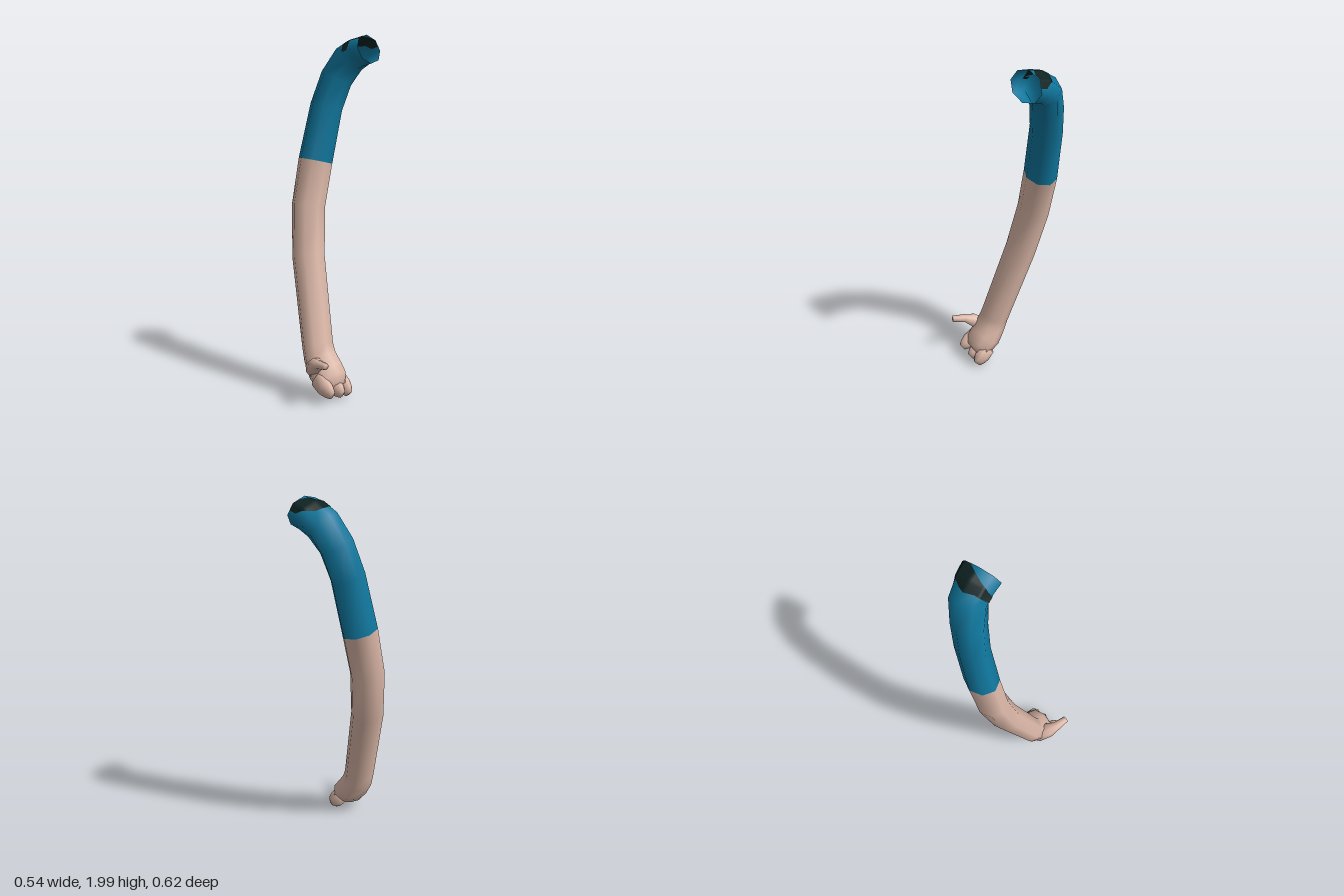
import * as THREE from 'three';

const SIDES = 8;
const skin = new THREE.MeshStandardMaterial({ color: 0xdcb8a8 });
skin.name = 'skin';
const blue = new THREE.MeshStandardMaterial({ color: 0x10789f, side: THREE.DoubleSide });
blue.name = 'sleeveBlue';
const dark = new THREE.MeshStandardMaterial({ color: 0x0f2222, side: THREE.DoubleSide });
dark.name = 'darkPatch';

// Rows are [x, y, z, radius along z, radius across]; adds a frame to each
function makeRings(rows) {
  const pts = rows.map(r => new THREE.Vector3(r[0], r[1], r[2]));
  return rows.map((r, i) => {
    const t = pts[Math.min(i + 1, pts.length - 1)].clone().sub(pts[Math.max(i - 1, 0)]).normalize();
    const b = new THREE.Vector3(0, 0, 1).addScaledVector(t, -t.z).normalize();
    const c = t.clone().cross(b);
    return { p: pts[i], b, c, rb: r[3], rc: r[4] };
  });
}

function ringPoint(ring, side, scale = 1) {
  const a = side / SIDES * Math.PI * 2;
  return ring.p.clone()
    .addScaledVector(ring.b, Math.cos(a) * ring.rb * scale)
    .addScaledVector(ring.c, Math.sin(a) * ring.rc * scale);
}

function buildGeometry(points, index) {
  const g = new THREE.BufferGeometry().setFromPoints(points);
  g.setIndex(index);
  g.computeVertexNormals();
  return g;
}

// Skin a run of rings, with optional end caps
function loft(rings, capStart, capEnd) {
  const points = [], index = [], n = SIDES;
  rings.forEach(r => { for (let j = 0; j < n; j++) points.push(ringPoint(r, j)); });
  for (let i = 0; i < rings.length - 1; i++) {
    for (let j = 0; j < n; j++) {
      const k = (j + 1) % n, a = i * n + j, b = i * n + k;
      index.push(a, b, b + n, a, b + n, a + n);
    }
  }
  const cap = (row, flip) => {
    const centre = points.length;
    points.push(rings[row].p.clone());
    for (let j = 0; j < n; j++) {
      const a = row * n + j, b = row * n + (j + 1) % n;
      index.push(centre, flip ? b : a, flip ? a : b);
    }
  };
  if (capStart) cap(0, true);
  if (capEnd) cap(rings.length - 1, false);
  return buildGeometry(points, index);
}

// Point on the faceted tube at fractional ring s and fractional side q
function surfacePoint(rings, s, q, scale) {
  const i = Math.min(Math.floor(s), rings.length - 2);
  const j = Math.floor(q);
  const edge = r => ringPoint(r, j, scale).lerp(ringPoint(r, j + 1, scale), q - j);
  return edge(rings[i]).lerp(edge(rings[i + 1]), s - i);
}

// Rows are [side, start ring, end ring]; a thin band lying on the tube
function band(rings, rows, scale) {
  const points = [], index = [], fine = 4, cols = 8;
  const total = (rows.length - 1) * fine;
  for (let i = 0; i <= total; i++) {
    const k = Math.min(Math.floor(i / fine), rows.length - 2);
    const [q, s0, s1] = rows[k].map((v, m) => THREE.MathUtils.lerp(v, rows[k + 1][m], i / fine - k));
    for (let j = 0; j <= cols; j++) {
      points.push(surfacePoint(rings, THREE.MathUtils.lerp(s0, s1, j / cols), q, scale));
    }
  }
  const w = cols + 1;
  for (let i = 0; i < total; i++) {
    for (let j = 0; j < cols; j++) {
      const a = i * w + j;
      index.push(a, a + 1, a + w, a + 1, a + w + 1, a + w);
    }
  }
  return buildGeometry(points, index);
}

export function createModel() {
  const model = new THREE.Group();
  model.name = 'arm';
  const add = (name, geometry, material) => {
    const mesh = new THREE.Mesh(geometry, material);
    mesh.name = name;
    model.add(mesh);
  };

  // Whole limb from palm to shoulder
  const limb = makeRings([
    [0.19, 0.085, 0.155, 0.07, 0.045],
    [0.155, 0.11, 0.155, 0.1, 0.078],
    [0.105, 0.155, 0.16, 0.106, 0.09],
    [0.06, 0.225, 0.165, 0.097, 0.085],
    [0.035, 0.29, 0.162, 0.093, 0.081],
    [-0.115, 0.76, 0.107, 0.098, 0.086],
    [-0.172, 1.04, 0.062, 0.102, 0.088],
    [-0.18, 1.295, 0.003, 0.105, 0.089],
    [-0.167, 1.6, -0.067, 0.1, 0.083],
    [-0.135, 1.76, -0.115, 0.1, 0.083],
    [-0.085, 1.865, -0.165, 0.103, 0.086],
    [-0.02, 1.905, -0.19, 0.107, 0.084],
    [0.04, 1.92, -0.205, 0.11, 0.081],
  ]);
  const sleeve = limb.slice(7);
  add('forearmAndPalm', loft(limb.slice(0, 8), true, false), skin);
  add('sleeve', loft(sleeve, false, false), blue);

  // Dark patch over the shoulder, seen outside and inside
  const patch = [
    [8, 3.3, 3.75], [7.3, 3.45, 3.95], [6.7, 3.55, 4.2], [6, 3.5, 4.65],
    [5.5, 3.62, 4.95], [5, 3.85, 4.98], [4.4, 4.4, 4.98],
  ];
  add('shoulderPatchOuter', band(sleeve, patch, 1.02), dark);
  add('shoulderPatchInner', band(sleeve, patch, 0.98), dark);

  // Three fingers: knuckle and tip
  const fingers = {
    frontFinger: [[0.125, 0.13, 0.237], [0.238, 0.066, 0.222]],
    middleFinger: [[0.125, 0.105, 0.152], [0.222, 0.046, 0.138]],
    backFinger: [[0.125, 0.11, 0.088], [0.208, 0.03, 0.078]],
  };
  for (const [name, [base, tip]] of Object.entries(fingers)) {
    const at = t => base.map((v, i) => THREE.MathUtils.lerp(v, tip[i], t));
    add(name, loft(makeRings([
      [...at(0), 0.035, 0.05],
      [...at(0.5), 0.04, 0.052],
      [...at(0.8), 0.03, 0.042],
      [...at(1), 0.017, 0.028],
    ]), true, true), skin);
  }

  // Thumb
  add('thumb', loft(makeRings([
    [0.07, 0.17, 0.22, 0.045, 0.05],
    [0.14, 0.222, 0.258, 0.046, 0.04],
    [0.185, 0.24, 0.276, 0.029, 0.025],
    [0.263, 0.256, 0.288, 0.02, 0.019],
  ]), true, true), skin);

  return model;
}
